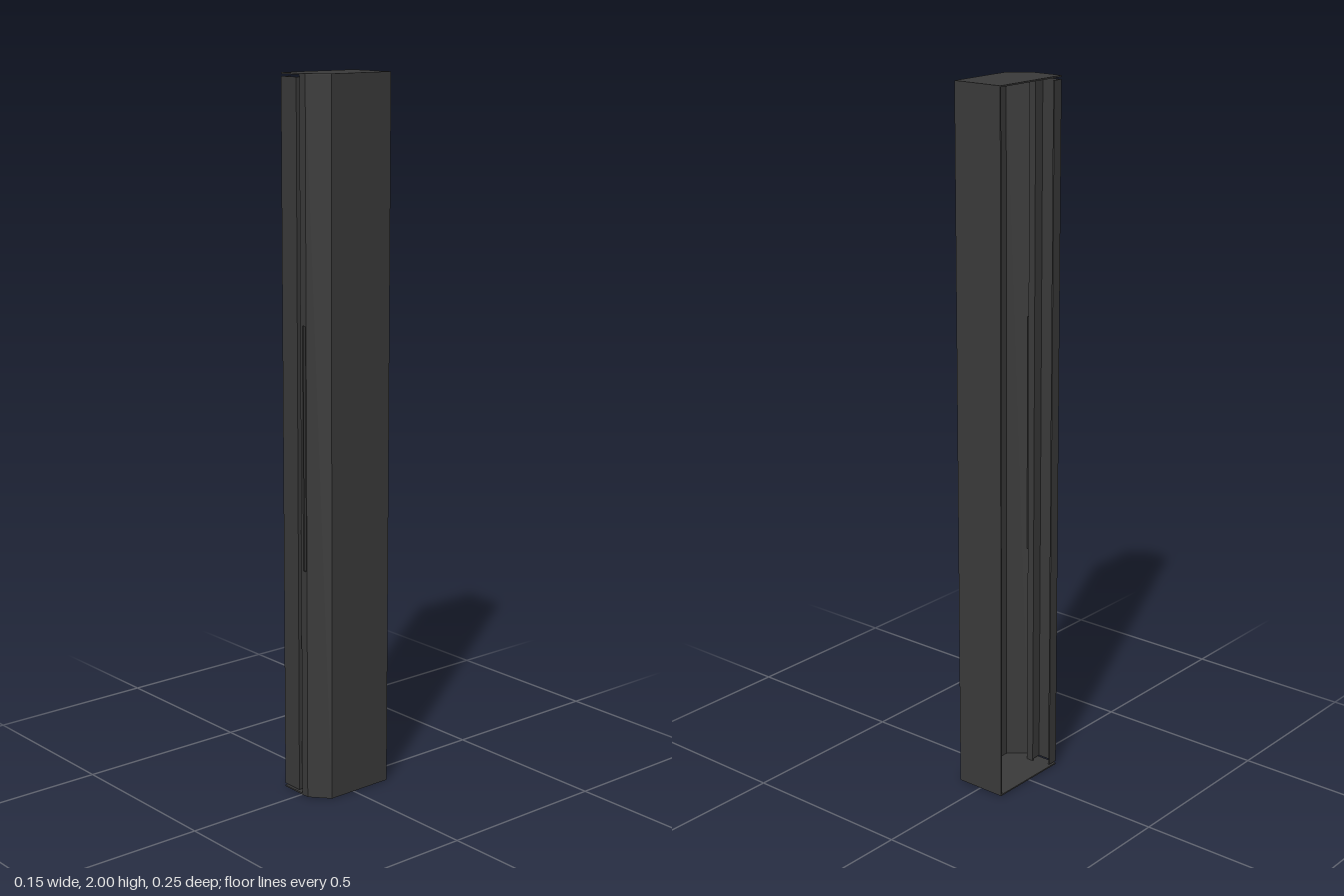
import * as THREE from 'three';

const H = 2, T = 0.004, X = 0.076, Z = 0.125;
const CX = 0.024, CZ = 0.08; // chamfer corners
const material = new THREE.MeshStandardMaterial({ color: 0x3a3a3a, flatShading: true });

export function createModel() {
  const group = new THREE.Group();
  group.name = 'cabinetColumn';

  // Extrudes a plan outline of [x, z] points from y0 up to y1
  const prism = (name, points, y0, y1) => {
    const shape = new THREE.Shape(points.map(([x, z]) => new THREE.Vector2(x, -z)));
    const geometry = new THREE.ExtrudeGeometry(shape, { depth: y1 - y0, bevelEnabled: false });
    geometry.rotateX(-Math.PI / 2).translate(0, y0, 0);
    const mesh = new THREE.Mesh(geometry, material);
    mesh.name = name;
    group.add(mesh);
  };
  const block = (name, x0, x1, y0, y1, z0, z1) => {
    const mesh = new THREE.Mesh(new THREE.BoxGeometry(x1 - x0, y1 - y0, z1 - z0), material);
    mesh.position.set((x0 + x1) / 2, (y0 + y1) / 2, (z0 + z1) / 2);
    mesh.name = name;
    group.add(mesh);
  };

  // Top and bottom plates with the cut corner
  const plan = [[-X, -Z], [X, -Z], [X, CZ], [CX, Z], [-X, Z]];
  prism('bottomPlate', plan, 0, T);
  prism('topPlate', plan, H - T, H);

  // Folded sheet: back wall, side wall and chamfer; the -x side stays open
  prism('shell', [
    [-X, -Z], [X, -Z], [X, CZ], [CX, Z],
    [CX - 0.002, Z - T], [X - T, CZ - 0.002], [X - T, -Z + T], [-X, -Z + T],
  ], T, H - T);

  // Front door panel with returned edges, leaving a gap above and below
  const gap = 0.01, doorEdge = -0.013, depth = 0.03;
  prism('door', [
    [-X, Z], [-X, Z - depth], [-X + T, Z - depth], [-X + T, Z - T],
    [doorEdge - T, Z - T], [doorEdge - T, Z - depth], [doorEdge, Z - depth], [doorEdge, Z],
  ], gap, H - gap);

  // Recessed channel beside the door
  block('channelBack', doorEdge - T, 0.004, T, H - T, Z - depth - T, Z - depth);
  block('channelSide', 0, T, T, H - T, Z - depth, Z);

  // Narrow front strip with a long grip slot
  const slotX0 = 0.009, slotX1 = 0.02, slotY0 = 0.66, slotY1 = 1.34;
  block('stripLower', 0, CX, T, slotY0, Z - T, Z);
  block('stripUpper', 0, CX, slotY1, H - T, Z - T, Z);
  block('stripInner', 0, slotX0, slotY0, slotY1, Z - T, Z);
  block('stripOuter', slotX1, CX, slotY0, slotY1, Z - T, Z);
  block('gripPocket', T, CX - 0.004, slotY0, slotY1, Z - 0.018, Z - 0.014);

  return group;
}
